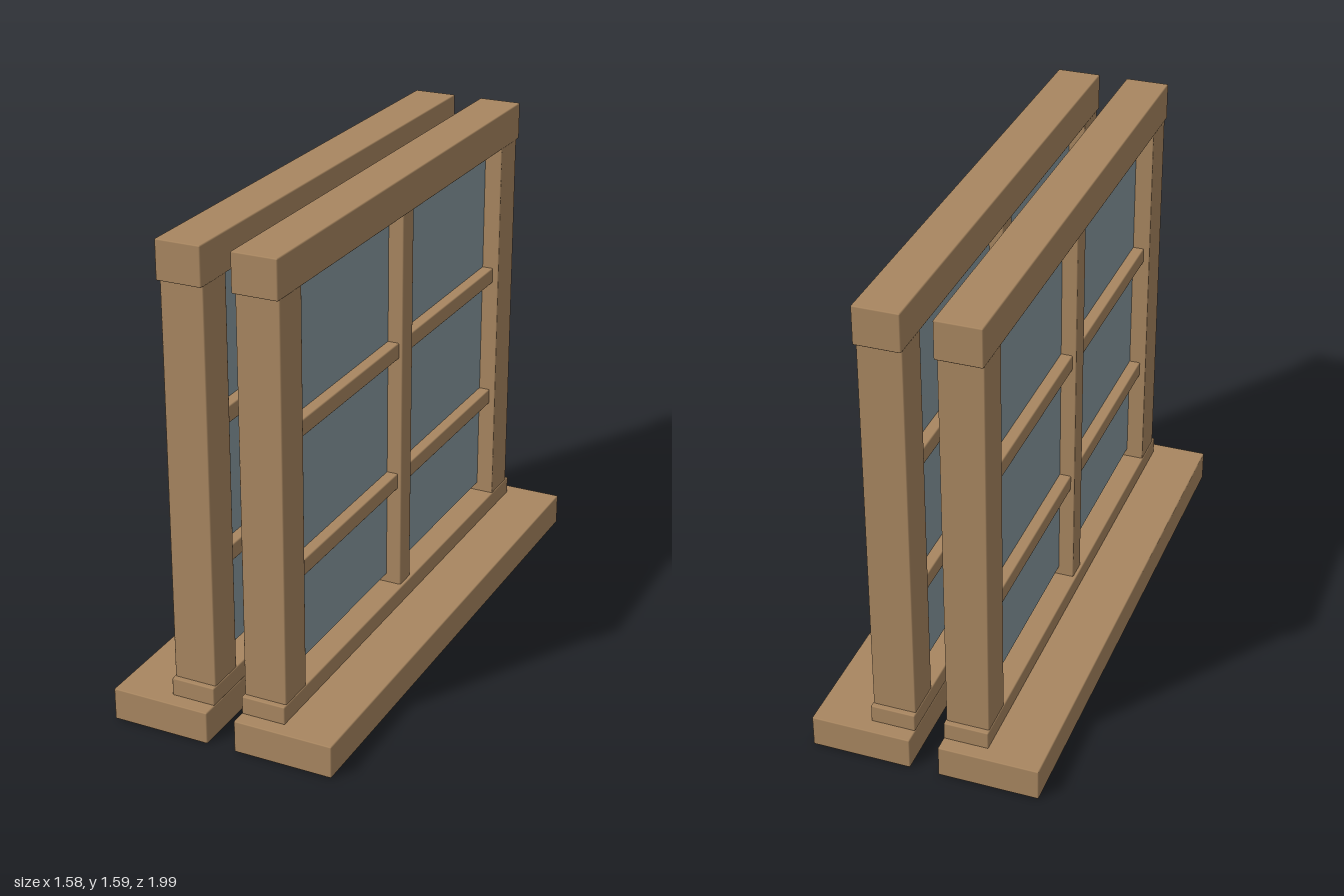
import * as THREE from 'three';
import { RoundedBoxGeometry } from 'three/addons/geometries/RoundedBoxGeometry.js';

const wood = new THREE.MeshStandardMaterial({ color: 0xa88660 });
wood.name = 'wood';
const glass = new THREE.MeshStandardMaterial({ color: 0x87989f });
glass.name = 'glass';

// Adds a block from its x, y and z ranges; wooden blocks get softened edges.
function block(group, name, material, [x0, x1], [y0, y1], [z0, z1]) {
  const w = x1 - x0, h = y1 - y0, d = Math.abs(z1 - z0);
  const geometry = material === wood
    ? new RoundedBoxGeometry(w, h, d, 1, 0.004)
    : new THREE.BoxGeometry(w, h, d);
  const mesh = new THREE.Mesh(geometry, material);
  mesh.name = name;
  mesh.position.set((x0 + x1) / 2, (y0 + y1) / 2, (z0 + z1) / 2);
  group.add(mesh);
}

// One window whose outer side looks along side * z.
function buildWindow(side) {
  const g = new THREE.Group();
  const depth = (a, b) => [side * a, side * b];

  // Sill, bottom rail and lintel
  block(g, 'sill', wood, [-0.935, 0.935], [0, 0.108], depth(0.047, 0.376));
  block(g, 'bottomRail', wood, [-0.885, 0.885], [0.106, 0.167], depth(0.048, 0.195));
  block(g, 'lintel', wood, [-0.885, 0.885], [1.465, 1.59], depth(0.048, 0.195));

  // Side posts and the upright between the panes
  block(g, 'leftPost', wood, [0.737, 0.868], [0.16, 1.47], depth(0.051, 0.192));
  block(g, 'rightPost', wood, [-0.868, -0.737], [0.16, 1.47], depth(0.051, 0.192));
  block(g, 'mullion', wood, [-0.038, 0.038], [0.16, 1.47], depth(0.06, 0.184));

  // Two glazing bars across the panes
  for (const y of [0.546, 1.005]) {
    block(g, 'glazingBar', wood, [-0.74, 0.74], [y - 0.027, y + 0.027], depth(0.07, 0.171));
  }

  // Glass, stopping a little above the bottom rail
  block(g, 'glassPane', glass, [-0.74, 0.74], [0.197, 1.467], depth(0.107, 0.133));

  // Narrow glass strips on the inner side
  for (const x of [[0.41, 0.605], [0.17, 0.35], [-0.43, -0.24], [-0.645, -0.46]]) {
    block(g, 'innerGlassStrip', glass, x, [0.45, 1.25], depth(0.028, 0.043));
  }
  return g;
}

export function createModel() {
  const model = new THREE.Group();
  model.name = 'windowPair';
  for (const side of [1, -1]) {
    const w = buildWindow(side);
    w.name = side > 0 ? 'leftWindow' : 'rightWindow';
    model.add(w);
  }
  // Both windows stand at an angle to the front
  const turned = new THREE.Group();
  model.rotation.y = Math.PI / 3;
  turned.add(model);
  return turned;
}
